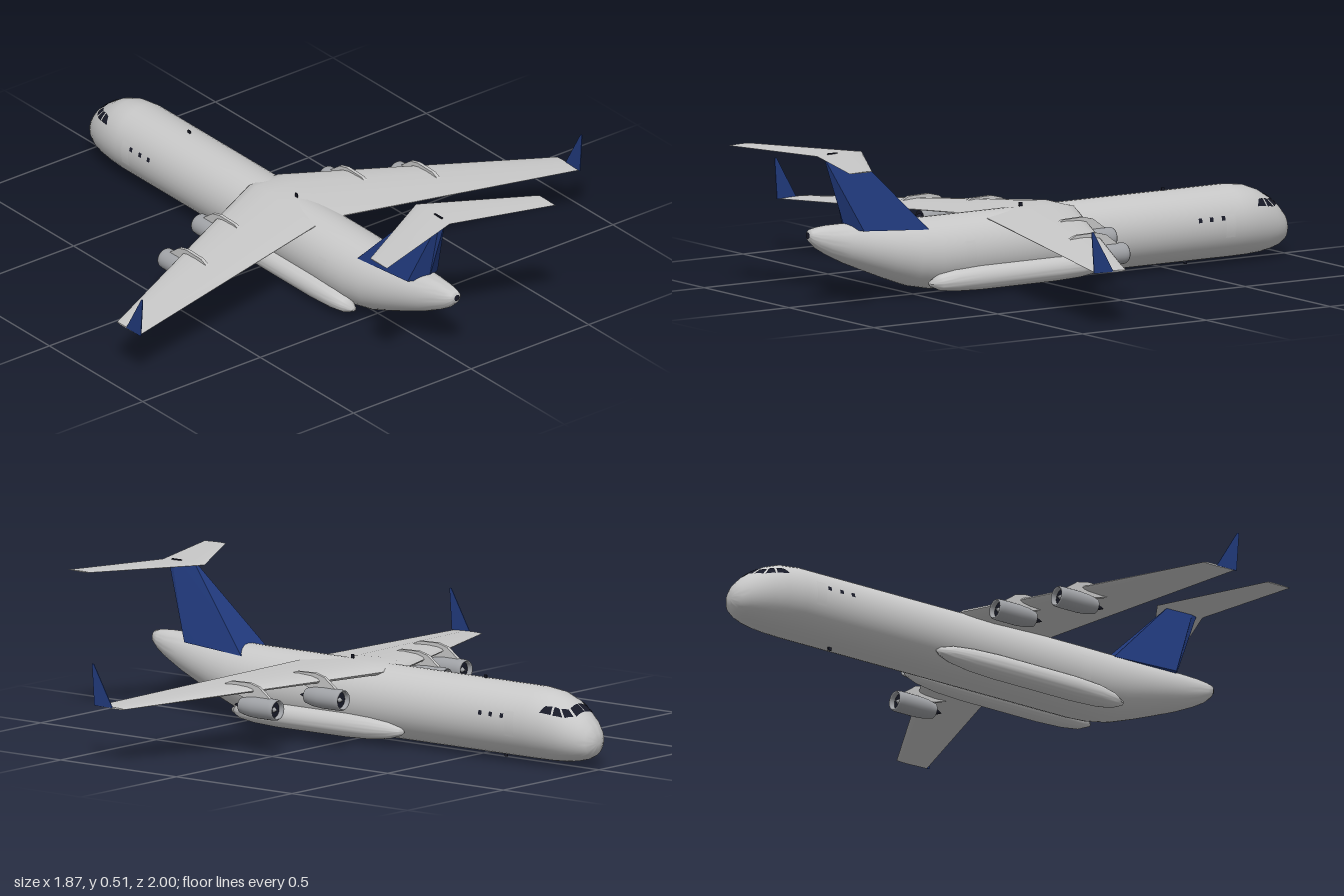
import * as THREE from 'three';
import { toCreasedNormals } from 'three/addons/utils/BufferGeometryUtils.js';

const mat = (name, color, side = THREE.FrontSide) => {
  const m = new THREE.MeshStandardMaterial({ color, side });
  m.name = name;
  return m;
};

// Solid through closed rings of points, with end caps, always facing outward
function loft(rings, crease = 0.6) {
  const tris = [], n = rings[0].length;
  for (let i = 0; i < rings.length - 1; i++) {
    for (let j = 0; j < n; j++) {
      const k = (j + 1) % n, [a, b] = [rings[i], rings[i + 1]];
      tris.push([a[j], a[k], b[k]], [a[j], b[k], b[j]]);
    }
  }
  const last = rings[rings.length - 1];
  for (let j = 1; j < n - 1; j++) {
    tris.push([rings[0][0], rings[0][j + 1], rings[0][j]], [last[0], last[j], last[j + 1]]);
  }
  let volume = 0;
  for (const [a, b, c] of tris) volume += a.dot(b.clone().cross(c));
  if (volume < 0) tris.forEach(t => t.reverse());
  return toCreasedNormals(new THREE.BufferGeometry().setFromPoints(tris.flat()), crease);
}

const V = (x, y, z) => new THREE.Vector3(x, y, z);

// Fuselage stations: z, bottom, top, half width
const BODY = [
  [-1, 0.093, 0.099, 0.003], [-0.995, 0.07, 0.125, 0.028], [-0.98, 0.047, 0.152, 0.051],
  [-0.955, 0.034, 0.18, 0.07], [-0.92, 0.025, 0.207, 0.088], [-0.88, 0.019, 0.233, 0.101],
  [-0.83, 0.016, 0.252, 0.112], [-0.76, 0.015, 0.26, 0.119], [0.38, 0.015, 0.26, 0.119],
  [0.45, 0.019, 0.26, 0.115], [0.53, 0.035, 0.261, 0.107], [0.62, 0.068, 0.262, 0.092],
  [0.7, 0.1, 0.265, 0.077], [0.78, 0.133, 0.268, 0.06], [0.85, 0.168, 0.268, 0.043],
  [0.89, 0.192, 0.265, 0.032], [0.915, 0.215, 0.26, 0.022], [0.922, 0.23, 0.25, 0.011],
];

// Point on the fuselage at station z; the angle runs from the top toward +x
function bodyPoint(z, angle, lift = 0) {
  let i = 0;
  while (i < BODY.length - 2 && z > BODY[i + 1][0]) i++;
  const t = (z - BODY[i][0]) / (BODY[i + 1][0] - BODY[i][0]);
  const [bottom, top, w] = [1, 2, 3].map(k => THREE.MathUtils.lerp(BODY[i][k], BODY[i + 1][k], t));
  return V((w + lift) * Math.sin(angle), (bottom + top) / 2 + ((top - bottom) / 2 + lift) * Math.cos(angle), z);
}

// Thin skin patch between four [z, degrees] corners, following the fuselage
function patch(corners, side, lift = 0.002) {
  const geo = new THREE.PlaneGeometry(1, 1, 8, 8), p = geo.attributes.position, r = Math.PI / 180;
  for (let i = 0; i < p.count; i++) {
    const u = p.getX(i) + 0.5, v = p.getY(i) + 0.5;
    const mix = k => (corners[0][k] * (1 - u) + corners[1][k] * u) * (1 - v)
      + (corners[3][k] * (1 - u) + corners[2][k] * u) * v;
    const q = bodyPoint(mix(0), side * mix(1) * r, lift);
    p.setXYZ(i, q.x, q.y, q.z);
  }
  geo.computeVertexNormals();
  return geo;
}

// Flat plate from a [z, y] outline, centred across x
function plate(points, thick) {
  const shape = new THREE.Shape(points.map(([z, y]) => new THREE.Vector2(z, y)));
  return new THREE.ExtrudeGeometry(shape, { depth: thick, bevelEnabled: false })
    .rotateY(-Math.PI / 2).translate(thick / 2, 0, 0);
}

// Aerofoil ring at x, from leading to trailing z, about height y
const FOIL = [[0, 0], [0.03, 0.24], [0.12, 0.42], [0.3, 0.5], [0.6, 0.36], [1, 0.03],
  [1, -0.03], [0.6, -0.3], [0.3, -0.46], [0.12, -0.38], [0.03, -0.22]];
const foil = (x, lead, trail, y, thick) =>
  FOIL.map(([c, h]) => V(x, y + h * thick, lead + c * (trail - lead)));

export function createModel() {
  const model = new THREE.Group();
  model.name = 'transportJet';
  const grey = mat('lightGrey', 0xc8c8c8, THREE.DoubleSide);
  const navy = mat('navyBlue', 0x213a7d, THREE.DoubleSide);
  const dark = mat('darkGlass', 0x181a28, THREE.DoubleSide);
  const metal = mat('nacelleGrey', 0xa0a2a6, THREE.DoubleSide);
  const add = (name, geo, material, parent = model) => {
    const m = new THREE.Mesh(geo, material);
    m.name = name;
    parent.add(m);
    return m;
  };

  // Fuselage
  const turn = Array.from({ length: 40 }, (_, i) => i / 40 * Math.PI * 2);
  add('fuselage', loft(BODY.map(([z]) => turn.map(a => bodyPoint(z, a))), 1.2), grey);
  add('tailExhaust', new THREE.CircleGeometry(0.011, 16).translate(0, 0.24, 0.924), dark);

  // Wing and tailplane
  add('wing', loft([
    foil(-0.935, 0.28, 0.4, 0.19, 0.006), foil(-0.06, -0.12, 0.24, 0.243, 0.044),
    foil(0.06, -0.12, 0.24, 0.243, 0.044), foil(0.935, 0.28, 0.4, 0.19, 0.006),
  ]), grey);
  add('tailplane', loft([
    foil(-0.358, 0.91, 1, 0.503, 0.004), foil(0, 0.705, 0.885, 0.503, 0.01),
    foil(0.358, 0.91, 1, 0.503, 0.004),
  ]), grey);
  add('tailplaneSlot', new THREE.BoxGeometry(0.006, 0.004, 0.04).translate(0, 0.508, 0.825), dark);

  // Wedge-shaped fin, wide at the root
  add('fin', loft([
    [V(-0.075, 0.23, 0.485), V(0.075, 0.23, 0.485), V(0.064, 0.246, 0.74), V(0, 0.25, 0.775), V(-0.064, 0.246, 0.74)],
    [V(-0.006, 0.5, 0.74), V(0.006, 0.5, 0.74), V(0.006, 0.5, 0.84), V(0, 0.5, 0.86), V(-0.006, 0.5, 0.84)],
  ], 0.1), navy);

  // Landing gear fairing stations: z, centre height, radius
  const POD = [[-0.24, 0.058, 0.003], [-0.225, 0.058, 0.014], [-0.18, 0.058, 0.028], [-0.1, 0.057, 0.038],
    [0, 0.057, 0.042], [0.3, 0.056, 0.042], [0.4, 0.055, 0.037], [0.46, 0.053, 0.027], [0.5, 0.052, 0.008]];

  // Engine profile: radius, distance behind the intake
  const NACELLE = [[0.027, 0.02], [0.029, 0.004], [0.032, 0], [0.035, 0.005], [0.036, 0.02],
    [0.036, 0.09], [0.033, 0.125], [0.026, 0.155]].map(([r, z]) => new THREE.Vector2(r, z));

  for (const s of [-1, 1]) {
    const side = s > 0 ? 'left' : 'right';
    add(side + 'GearFairing', loft(POD.map(([z, y, r]) =>
      turn.map(a => V(s * 0.1 + r * Math.sin(a), y + r * Math.cos(a), z))), 1.2), grey);

    // Winglet
    add(side + 'Winglet', plate([[0.33, 0.19], [0.408, 0.19], [0.418, 0.33], [0.411, 0.33]], 0.003), navy)
      .position.x = s * 0.934;

    // Engines on pylons
    for (const [name, x, y, z] of [['Inner', 0.27, 0.175, -0.12], ['Outer', 0.492, 0.161, -0.02]]) {
      const engine = new THREE.Group();
      engine.name = side + name + 'Engine';
      engine.position.set(s * x, y, z);
      model.add(engine);
      add('nacelle', new THREE.LatheGeometry(NACELLE, 28).rotateX(Math.PI / 2), metal, engine);
      add('fan', new THREE.CircleGeometry(0.028, 28).translate(0, 0, 0.018), dark, engine);
      add('spinner', new THREE.ConeGeometry(0.009, 0.016, 16).rotateX(-Math.PI / 2).translate(0, 0, 0.01), metal, engine);
      add('exhaust', new THREE.CircleGeometry(0.026, 28).translate(0, 0, 0.154), dark, engine);
      add('exhaustCone', new THREE.ConeGeometry(0.015, 0.036, 16).rotateX(Math.PI / 2).translate(0, 0, 0.172), dark, engine);
      add('pylon', plate([[0.025, 0.03], [0.12, 0.02], [0.2, 0.045], [0.24, 0.06], [0.2, 0.078],
        [0.12, 0.08], [0.08, 0.07]], 0.012), grey, engine);
    }

    // Cockpit windows, from the centre line outward
    [
      [[-0.94, 1], [-0.938, 32], [-0.91, 25], [-0.908, 1]],
      [[-0.932, 37], [-0.912, 51], [-0.89, 39], [-0.908, 30]],
      [[-0.905, 53], [-0.873, 59], [-0.868, 42], [-0.885, 41]],
      [[-0.866, 59], [-0.825, 62], [-0.838, 48], [-0.861, 43]],
    ].forEach((c, i) => add(side + 'CockpitWindow' + (i + 1), patch(c, s, 0.0025), dark));

    // Cabin windows and doors
    const box = (z0, z1, a0, a1) => [[z0, a0], [z1, a0], [z1, a1], [z0, a1]];
    for (const z of [-0.675, -0.627, -0.582]) {
      add(side + 'CabinWindow', patch(box(z - 0.007, z + 0.007, 73, 80), s), dark);
    }
    add(side + 'FrontDoor', patch(box(-0.725, -0.687, 68, 108), s, 0.0012), grey);
    add(side + 'RearDoor', patch(box(0.325, 0.365, 68, 108), s, 0.0012), grey);
  }

  // Small blade antennas
  for (const [z, y] of [[-0.51, 0.263], [0.065, 0.267], [-0.6, 0.011]]) {
    add('antenna', new THREE.BoxGeometry(0.004, 0.014, 0.012).translate(0, y, z), dark);
  }
  return model;
}
